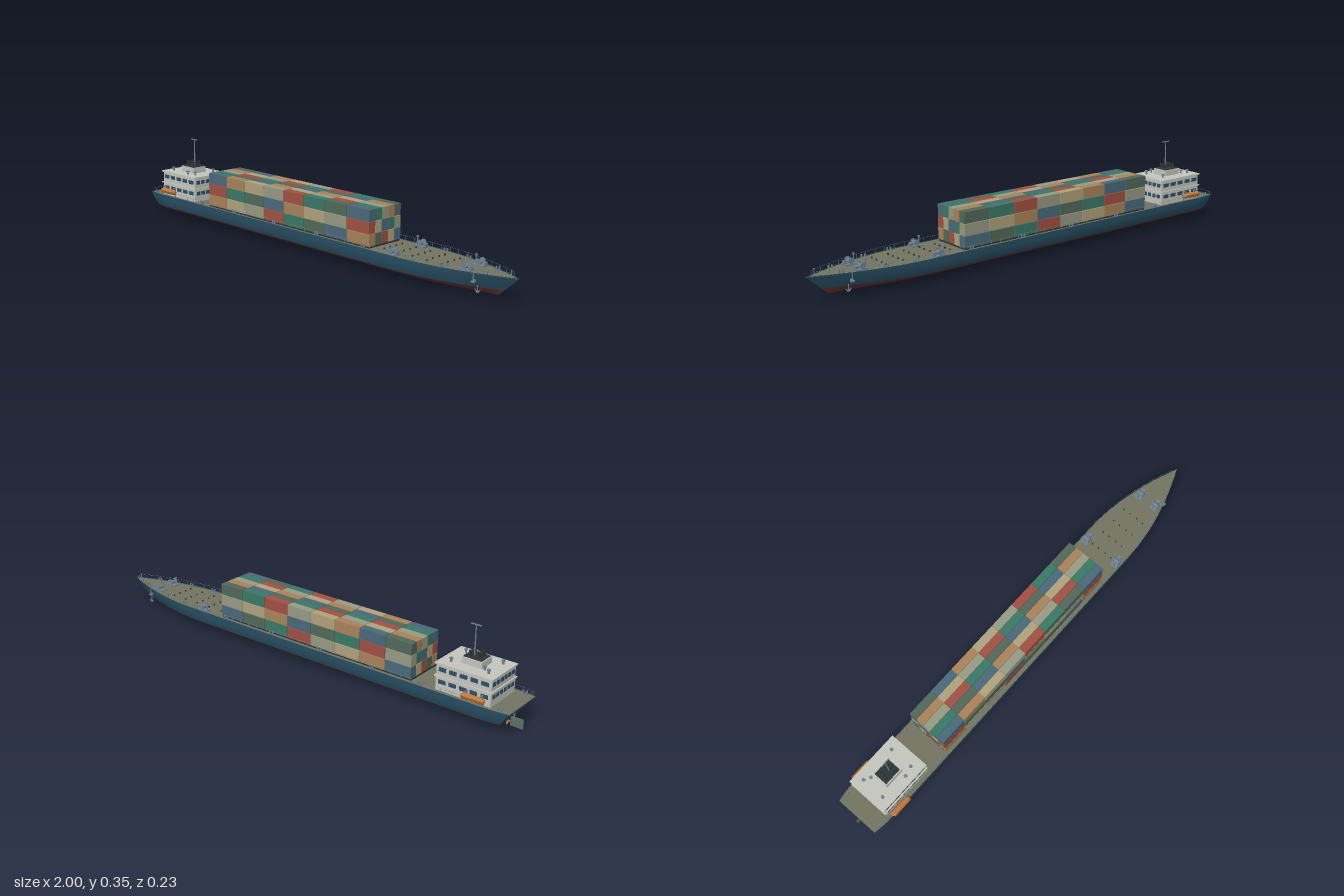
import * as THREE from 'three';

const mats = {};
const mat = (c) => (mats[c] ??= new THREE.MeshStandardMaterial({ color: c, side: THREE.DoubleSide }));
const NAVY = 0x284f63, RED = 0x66302c, DECK = 0x72745f, WHITE = 0xc4c6be, DARK = 0x2d3436,
  STEEL = 0x6f8290, ORANGE = 0xc07838, GLASS = 0x2f4f66, BRONZE = 0xa8824e, GREEN = 0x5a6f62;

function add(parent, name, geo, color, x = 0, y = 0, z = 0, rx = 0, ry = 0, rz = 0) {
  const m = new THREE.Mesh(geo, mat(color));
  m.name = name;
  m.position.set(x, y, z);
  m.rotation.set(rx, ry, rz);
  parent.add(m);
  return m;
}
const box = (w, h, d) => new THREE.BoxGeometry(w, h, d);
const cyl = (r, h, n = 12, r2 = r) => new THREE.CylinderGeometry(r2, r, h, n);

// Half beam at deck level for a position along the ship
function halfBeam(x) {
  if (x < -0.9) return 0.094 + 0.009 * Math.sin(((x + 0.99) / 0.09) * Math.PI / 2);
  if (x < 0.55) return 0.103;
  return 0.103 * (1 - Math.pow(Math.min(1, (x - 0.55) / 0.45), 1.9));
}

// Hull levels: height and share of the half beam
const LEVELS = [[0.093, 1], [0.075, 0.998], [0.055, 0.975], [0.037, 0.91], [0.028, 0.81], [0.019, 0.6], [0.015, 0.36], [0.013, 0]];
const STATIONS = [0, 0.015, 0.03, 0.045, 0.1, 0.4, 0.7, 0.77, 0.8, 0.83, 0.86, 0.89, 0.92, 0.94, 0.96, 0.98, 1];
function hullPoint(s, level, side) {
  const [y, k] = LEVELS[level];
  const drop = (0.093 - y) / 0.08;
  const x = THREE.MathUtils.lerp(-0.99 + 0.055 * drop, 1 - 0.09 * drop, s);
  return [x, y, side * k * halfBeam(-0.99 + 1.99 * s)];
}

// Skin through equal rows of points
function skin(rows) {
  const n = rows[0].length, index = [];
  for (let i = 0; i < rows.length - 1; i++)
    for (let j = 0; j < n - 1; j++) {
      const a = i * n + j, b = a + n;
      index.push(a, a + 1, b, b, a + 1, b + 1);
    }
  const g = new THREE.BufferGeometry();
  g.setAttribute('position', new THREE.Float32BufferAttribute(rows.flat(2), 3));
  g.setIndex(index);
  g.computeVertexNormals();
  return g;
}

function hull(ship) {
  const g = new THREE.Group();
  g.name = 'hull';
  const upper = [0, 1, 2, 3], lower = [3, 4, 5, 6, 7];
  const side = (s, lv, k) => lv.map((l) => hullPoint(s, l, k));
  add(g, 'leftSide', skin(STATIONS.map((s) => side(s, upper, 1))), NAVY);
  add(g, 'rightSide', skin(STATIONS.map((s) => side(s, upper, -1).reverse())), NAVY);
  add(g, 'bottom', skin(STATIONS.map((s) => [...side(s, lower, 1), ...side(s, lower, -1).reverse().slice(1)])), RED);
  add(g, 'transom', skin([side(0, upper, -1), side(0, upper, 1)]), NAVY);
  add(g, 'lowerTransom', skin([side(0, lower, -1), side(0, lower, 1)]), RED);
  // Deck plate
  const edge = STATIONS.map((s) => hullPoint(s, 0, 1));
  const pts = [...edge.map((p) => [p[0], p[2]]), ...edge.reverse().map((p) => [p[0], -p[2]])];
  const shape = new THREE.Shape(pts.map((p) => new THREE.Vector2(p[0], p[1])));
  add(g, 'deck', new THREE.ShapeGeometry(shape), DECK, 0, 0.09, 0, -Math.PI / 2);
  ship.add(g);
}

function containers(ship) {
  const g = new THREE.Group();
  g.name = 'containers';
  const colors = [0xa8835a, 0x51685a, 0xa05042, 0xafa27c, 0x4a697b, 0x3a7865, 0x979a82];
  const geo = box(0.1165, 0.0455, 0.0338);
  for (let bay = 0; bay < 8; bay++)
    for (let tier = 0; tier < 3; tier++)
      for (let row = 0; row < 5; row++)
        add(g, 'container', geo, colors[(3 * bay + row + 2 * tier) % 7],
          -0.516 + bay * 0.1192, 0.12 + tier * 0.0475, 0.0705 - row * 0.03525);
  add(g, 'hatchBase', box(0.95, 0.008, 0.17), DARK, -0.099, 0.094, 0);
  ship.add(g);
}

function deckhouse(ship) {
  const g = new THREE.Group();
  g.name = 'deckhouse';
  const cx = -0.795;
  add(g, 'lowerHouse', box(0.23, 0.056, 0.168), WHITE, cx, 0.117, 0);
  add(g, 'middleSlab', box(0.24, 0.005, 0.178), WHITE, cx, 0.147, 0);
  add(g, 'upperHouse', box(0.228, 0.045, 0.166), WHITE, cx, 0.172, 0);
  add(g, 'roof', box(0.238, 0.006, 0.178), WHITE, cx, 0.197, 0);
  add(g, 'roofHouse', box(0.085, 0.026, 0.07), WHITE, cx, 0.212, 0);
  add(g, 'roofHouseTop', box(0.075, 0.004, 0.06), DARK, cx, 0.227, 0);
  // Windows on all four walls of both floors
  for (const y of [0.126, 0.175]) {
    for (const s of [-1, 1]) {
      for (let i = 0; i < 5; i++)
        add(g, 'sideWindow', box(0.03, 0.016, 0.003), GLASS, cx + (i - 2) * 0.044, y, s * 0.0838);
      for (let i = 0; i < 6; i++)
        add(g, 'endWindow', box(0.003, 0.016, 0.018), GLASS, cx + s * 0.1148, y, (i - 2.5) * 0.026);
    }
  }
  // Exhaust stacks, vents and mast
  for (const x of [-0.815, -0.777])
    for (const z of [-0.016, 0, 0.016]) add(g, 'exhaust', cyl(0.0055, 0.022), DARK, x, 0.238, z);
  for (const [x, z] of [[-0.875, 0.05], [-0.875, -0.05], [-0.72, 0.05], [-0.72, -0.05], [-0.76, 0.06], [-0.85, -0.035]]) {
    add(g, 'ventPipe', cyl(0.004, 0.014), STEEL, x, 0.206, z);
    add(g, 'ventCap', cyl(0.007, 0.005), STEEL, x, 0.214, z);
  }
  add(g, 'mast', cyl(0.003, 0.12, 10, 0.002), STEEL, -0.785, 0.288, 0);
  add(g, 'mastBar', box(0.042, 0.004, 0.004), STEEL, -0.785, 0.346, 0);
  // Lifeboats with their davits
  for (const s of [-1, 1]) {
    const boat = add(g, 'lifeboat', new THREE.CapsuleGeometry(0.011, 0.075, 6, 16), ORANGE, -0.848, 0.115, s * 0.104, 0, 0, Math.PI / 2);
    boat.scale.z = 1.1;
    add(g, 'lifeboatRim', box(0.088, 0.003, 0.026), 0x8f5a2d, -0.848, 0.116, s * 0.104);
    for (const x of [-0.88, -0.816]) {
      add(g, 'davit', box(0.004, 0.042, 0.004), STEEL, x, 0.111, s * 0.09);
      add(g, 'davitArm', box(0.004, 0.004, 0.022), STEEL, x, 0.131, s * 0.098);
    }
  }
  ship.add(g);
}

// Mooring winch: bed, drum with flanges and motor
function winch(ship, x, z) {
  const g = new THREE.Group();
  g.name = 'winch';
  add(g, 'bed', box(0.05, 0.005, 0.032), STEEL, 0, 0.0025, 0);
  add(g, 'drum', cyl(0.008, 0.028, 16), STEEL, 0, 0.014, 0, Math.PI / 2);
  for (const s of [-1, 1]) add(g, 'flange', cyl(0.012, 0.003, 16), STEEL, 0, 0.016, s * 0.013, Math.PI / 2);
  add(g, 'motor', box(0.014, 0.014, 0.014), STEEL, 0.02, 0.01, 0);
  add(g, 'post', cyl(0.0025, 0.036, 8), STEEL, -0.018, 0.02, 0);
  add(g, 'postCap', cyl(0.005, 0.005, 8), STEEL, -0.018, 0.037, 0);
  g.position.set(x, 0.09, z);
  ship.add(g);
}

function deckGear(ship) {
  const g = new THREE.Group();
  g.name = 'deckGear';
  for (const s of [-1, 1]) {
    winch(g, 0.49, s * 0.08);
    winch(g, 0.80, s * 0.04);
    // Bollard pairs along the edge
    for (const x of [-0.95, -0.62, -0.4, -0.15, 0.1, 0.35, 0.6, 0.72, 0.88])
      for (const d of [-0.007, 0.007])
        add(g, 'bollard', cyl(0.0035, 0.014, 8), STEEL, x + d, 0.097, s * (halfBeam(x) - 0.01));
    // Small deck vents
    for (let i = 0; i < 5; i++)
      for (const z of [0.018, 0.05])
        add(g, 'deckVent', cyl(0.003, 0.006, 8), DARK, 0.42 + i * 0.07, 0.093, s * z);
    // Railing
    const xs = Array.from({ length: 45 }, (_, i) => -0.98 + i * 0.0443);
    for (const x of xs) add(g, 'railPost', cyl(0.0009, 0.016, 5), STEEL, x, 0.101, s * (halfBeam(x) - 0.003));
    const path = new THREE.CatmullRomCurve3(xs.map((x) => new THREE.Vector3(x, 0.109, s * (halfBeam(x) - 0.003))));
    add(g, 'rail', new THREE.TubeGeometry(path, 120, 0.0005, 4), STEEL);
    // Anchor, chain pipe and flukes on the bow
    add(g, 'hawsePipe', cyl(0.005, 0.008, 12), STEEL, 0.845, 0.063, s * 0.051, Math.PI / 2);
    add(g, 'anchorShank', cyl(0.002, 0.036, 8), STEEL, 0.845, 0.076, s * 0.056);
    add(g, 'anchorStock', box(0.014, 0.005, 0.01), STEEL, 0.845, 0.06, s * 0.056);
    add(g, 'anchorShaft', cyl(0.002, 0.022, 8), STEEL, 0.855, 0.036, s * 0.043);
    for (const k of [-1, 1])
      add(g, 'anchorFluke', new THREE.ConeGeometry(0.004, 0.018, 6), STEEL, 0.855 + k * 0.008, 0.028, s * 0.043, 0, 0, -k * 0.7);
  }
  add(g, 'sternRail', box(0.001, 0.001, 0.18), STEEL, -0.98, 0.109, 0);
  add(g, 'bowPost', cyl(0.002, 0.028, 8), STEEL, 0.965, 0.104, 0);
  ship.add(g);
}

function steering(ship) {
  const g = new THREE.Group();
  g.name = 'steeringGear';
  add(g, 'rudder', box(0.052, 0.038, 0.004), GREEN, -0.974, 0.019, 0);
  add(g, 'rudderStock', cyl(0.003, 0.05, 8), STEEL, -0.962, 0.045, 0);
  add(g, 'propellerShaft', cyl(0.003, 0.05, 8), STEEL, -0.92, 0.016, 0, 0, 0, Math.PI / 2);
  add(g, 'propellerHub', cyl(0.004, 0.012, 10, 0.003), BRONZE, -0.939, 0.016, 0, 0, 0, Math.PI / 2);
  for (let i = 0; i < 4; i++) {
    const blade = new THREE.Group();
    blade.name = 'propellerBlade';
    const m = add(blade, 'blade', new THREE.SphereGeometry(1, 10, 8), BRONZE, 0, 0.009, 0, 0, 0.5, 0);
    m.scale.set(0.0015, 0.0075, 0.005);
    blade.position.set(-0.939, 0.0165, 0);
    blade.rotation.x = Math.PI / 4 + (i * Math.PI) / 2;
    g.add(blade);
  }
  ship.add(g);
}

export function createModel() {
  const ship = new THREE.Group();
  ship.name = 'containerShip';
  for (const part of [hull, containers, deckhouse, deckGear, steering]) part(ship);
  return ship;
}
